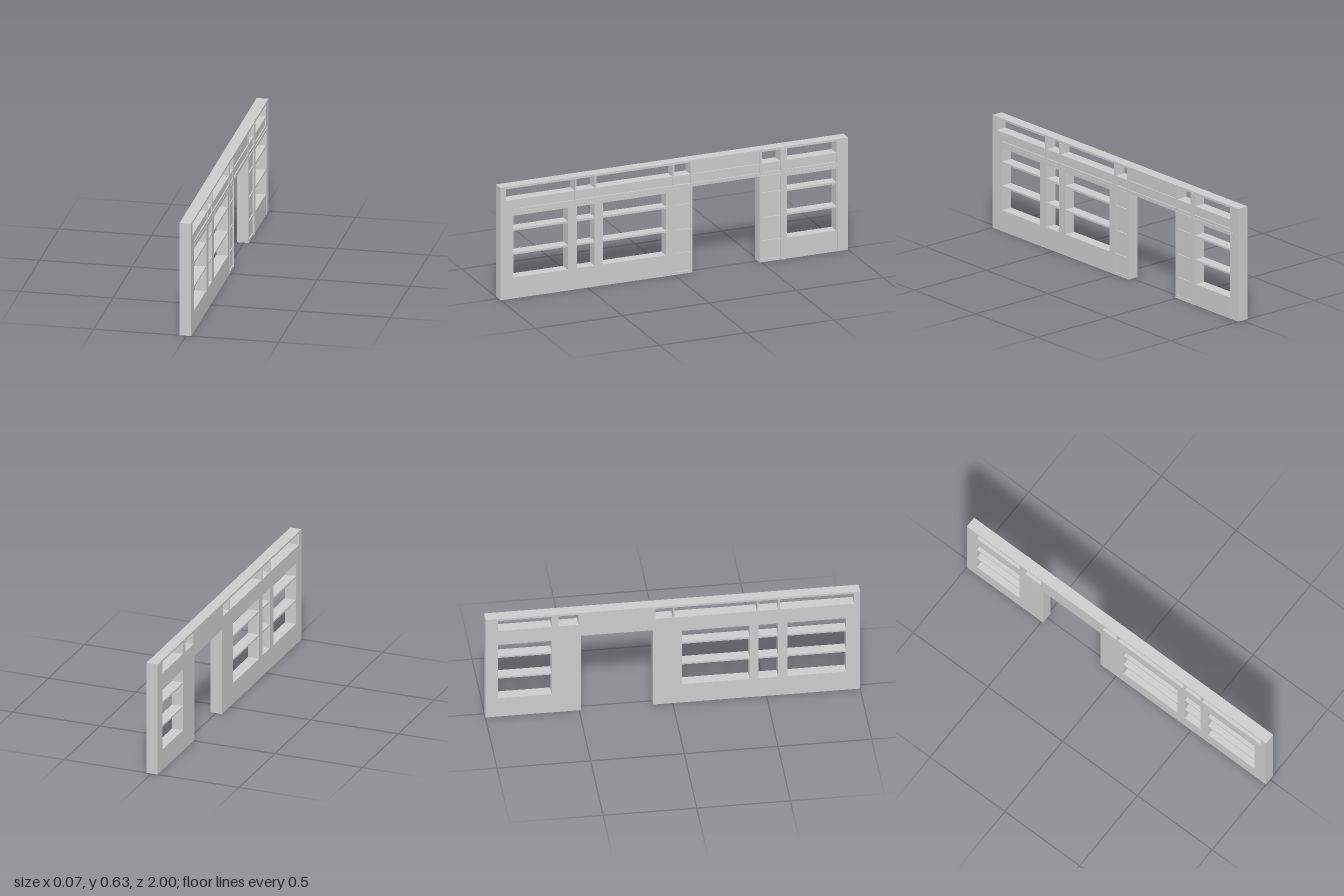
import * as THREE from 'three';

const H = 0.632;
const material = new THREE.MeshStandardMaterial({ color: 0xcccccc, flatShading: true });

// rectangle as [u0, u1, y0, y1], where u runs along the wall (u = -z)
function corners([u0, u1, y0, y1]) {
  return [[u0, y0], [u1, y0], [u1, y1], [u0, y1]].map(([u, y]) => new THREE.Vector2(u, y));
}

// extruded wall layer between x0 and x1 with rectangular holes
function layer(name, outline, holes, x0, x1) {
  const shape = new THREE.Shape(outline);
  for (const h of holes) shape.holes.push(new THREE.Path(corners(h)));
  const geo = new THREE.ExtrudeGeometry(shape, { depth: x1 - x0, bevelEnabled: false });
  geo.rotateY(Math.PI / 2).translate(x0, 0, 0);
  const mesh = new THREE.Mesh(geo, material);
  mesh.name = name;
  return mesh;
}

export function createModel() {
  const group = new THREE.Group();
  group.name = 'shopfrontWall';

  // wall outline with the doorway notch
  const outline = [[-1, 0], [0.105, 0], [0.105, 0.483], [0.49, 0.483], [0.49, 0], [1, 0], [1, H], [-1, H]]
    .map(([u, y]) => new THREE.Vector2(u, y));

  // window bays, each split into three panes by full-depth shelves
  const bays = [[-0.925, -0.613], [-0.562, -0.458], [-0.41, -0.048], [0.647, 0.932]];
  const paneRows = [[0.118, 0.246], [0.256, 0.38], [0.391, 0.465]];
  const openings = [];
  for (const [a, b] of bays) for (const [y0, y1] of paneRows) openings.push([a, b, y0, y1]);

  // transom lights
  const transoms = [[-0.968, -0.572], [-0.562, -0.458], [-0.449, -0.01], [0, 0.092], [0.503, 0.61], [0.647, 0.932]];
  for (const [a, b] of transoms) openings.push([a, b, 0.555, 0.62]);

  // shallow panels in the street face: fascia band, over-door panel, door pilasters
  const recesses = [[0.105, 0.49, 0.555, 0.62]];
  const bands = [[-0.925, -0.572], [-0.562, -0.458], [-0.449, -0.01], [0, 0.092], [0.105, 0.49], [0.503, 0.61], [0.647, 0.932]];
  for (const [a, b] of bands) recesses.push([a, b, 0.503, 0.545]);
  const pilasterRows = [[0.015, 0.11], [0.12, 0.24], [0.25, 0.38], [0.39, 0.468]];
  for (const [a, b] of [[0, 0.092], [0.503, 0.61]])
    for (const [y0, y1] of pilasterRows) recesses.push([a, b, y0, y1]);

  group.add(layer('wallCore', outline, openings, -0.035, 0.022));
  group.add(layer('streetFace', outline, [...openings, ...recesses], 0.022, 0.028));

  // thin raised trim on the street face
  const trim = (name, rect, x1 = 0.03) => group.add(layer(name, corners(rect), [], 0.027, x1));
  trim('ledge', [-0.925, 0.105, 0.479, 0.487]);
  trim('ledge', [0.49, 0.957, 0.479, 0.487], 0.032);
  trim('windowPost', [-0.613, -0.562, 0.107, 0.479], 0.0295);
  trim('doorPost', [0.618, 0.64, 0, 0.625], 0.032);
  trim('endBead', [0.936, 0.944, 0, 0.479], 0.031);
  trim('pilasterBead', [0.095, 0.103, 0, 0.479]);
  trim('pilasterBead', [-0.008, -0.002, 0, 0.479]);

  return group;
}
